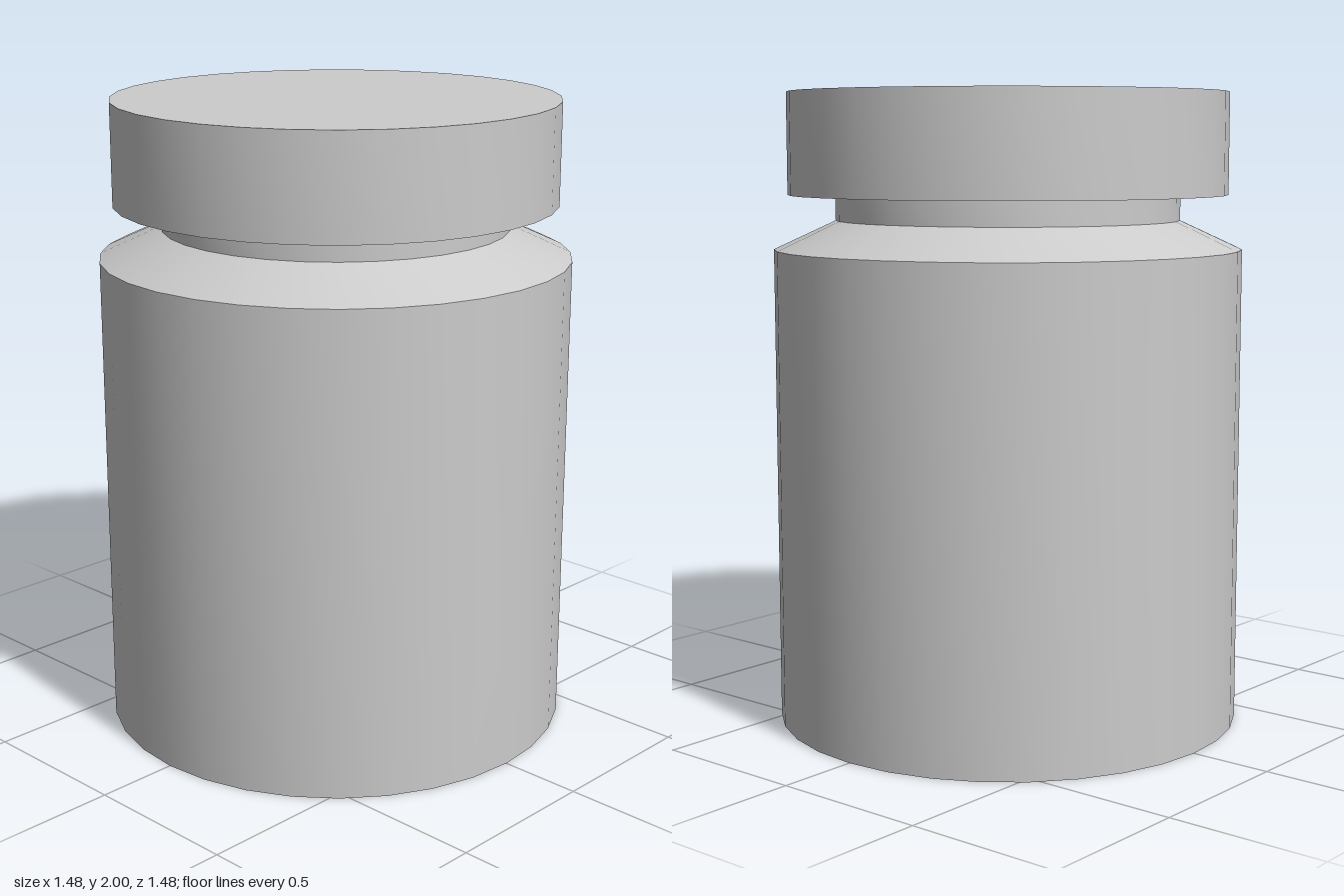
import * as THREE from 'three';
import { toCreasedNormals } from 'three/addons/utils/BufferGeometryUtils.js';

const SIDES = 32;
const material = new THREE.MeshStandardMaterial({ color: 0xcccccc });

// Revolves a [radius, height] profile, listed from the bottom up, with crisp rims.
function turned(name, profile) {
  const points = profile.map(([r, y]) => new THREE.Vector2(r, y));
  const geometry = toCreasedNormals(new THREE.LatheGeometry(points, SIDES), 0.35);
  const mesh = new THREE.Mesh(geometry, material);
  mesh.name = name;
  return mesh;
}

export function createModel() {
  const group = new THREE.Group();
  group.name = 'jar';

  // Body: shallow recess underneath, straight wall, sloped shoulder and neck
  group.add(turned('body', [
    [0, 0.05], [0.245, 0.05], [0.55, 0], [0.74, 0],
    [0.74, 1.51], [0.545, 1.6], [0.545, 1.68],
  ]));

  // Lid: solid disc overhanging the neck
  group.add(turned('lid', [
    [0, 1.68], [0.695, 1.68], [0.695, 2], [0, 2],
  ]));

  return group;
}
